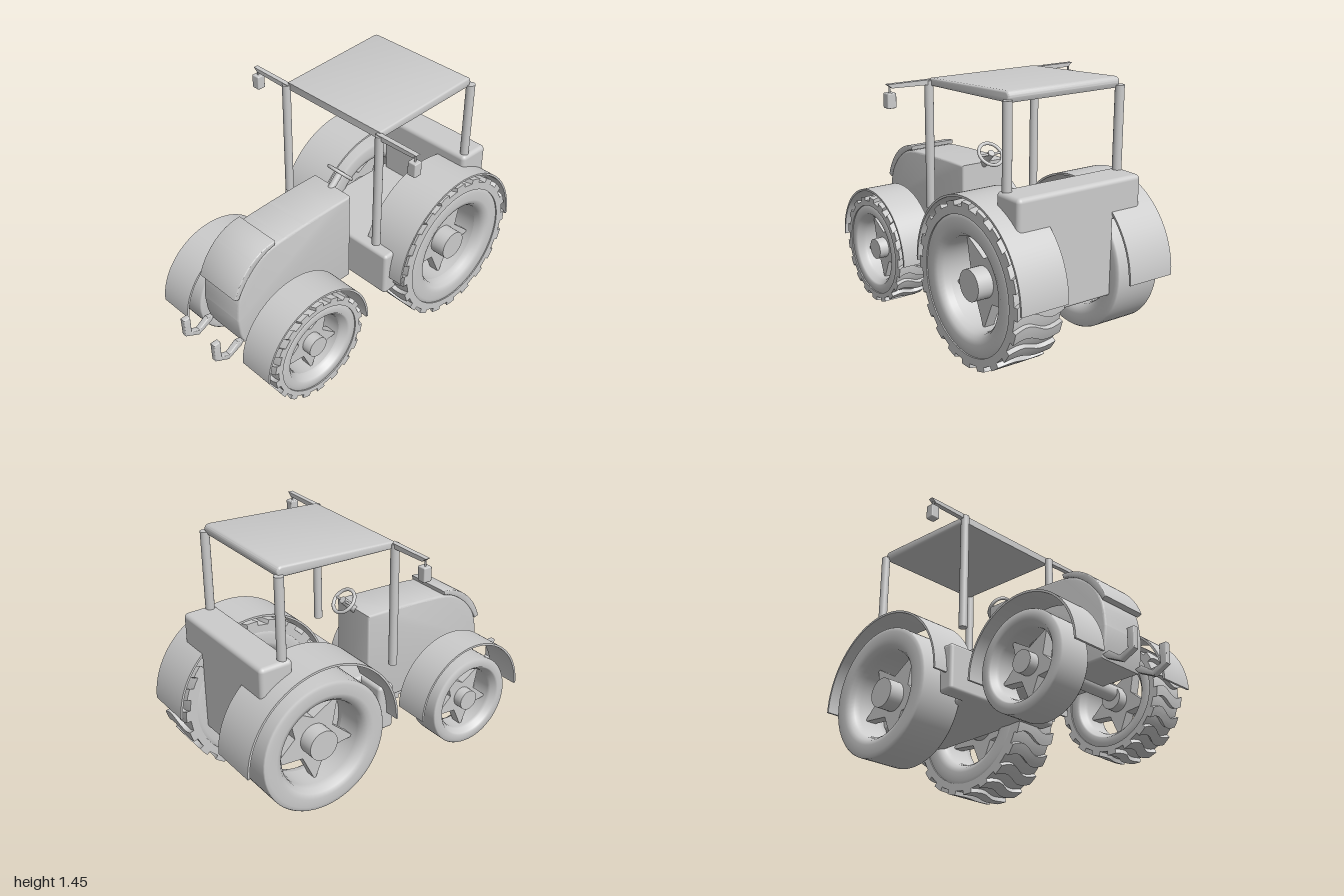
import * as THREE from 'three';
import { toCreasedNormals } from 'three/addons/utils/BufferGeometryUtils.js';
import { RoundedBoxGeometry } from 'three/addons/geometries/RoundedBoxGeometry.js';

const material = new THREE.MeshStandardMaterial({ color: 0xcccccc, side: THREE.DoubleSide });

function add(parent, name, geometry, x = 0, y = 0, z = 0) {
  const mesh = new THREE.Mesh(geometry, material);
  mesh.name = name;
  mesh.position.set(x, y, z);
  parent.add(mesh);
  return mesh;
}

// Shape drawn in (z, y), extruded to a given width across x
function sideExtrude(shape, width, bevel = 0) {
  const depth = width - 2 * bevel;
  const g = new THREE.ExtrudeGeometry(shape, {
    depth, curveSegments: 32, bevelEnabled: bevel > 0,
    bevelSize: bevel, bevelThickness: bevel, bevelOffset: -bevel, bevelSegments: 3,
  });
  g.translate(0, 0, -depth / 2).rotateY(-Math.PI / 2);
  return toCreasedNormals(g, 0.6);
}

const axleCylinder = (r, length, sides = 32) =>
  new THREE.CylinderGeometry(r, r, length, sides).rotateZ(-Math.PI / 2);

// Rod between two points
function rod(parent, name, a, b, r) {
  const from = new THREE.Vector3(...a), to = new THREE.Vector3(...b);
  return add(parent, name, new THREE.TubeGeometry(new THREE.LineCurve3(from, to), 1, r, 16));
}

function tyreGeometry(R, hole, w) {
  const h = w / 2;
  const half = [[hole, h * 0.5], [hole + 0.005, h - 0.035], [hole + 0.025, h - 0.01],
    [(hole + R) / 2 - 0.01, h], [R - 0.025, h - 0.004], [R - 0.006, h - 0.006], [R, h - 0.014]];
  const loop = [...half, ...half.map(([r, y]) => [r, -y]).reverse(), half[0]];
  return new THREE.LatheGeometry(loop.map(p => new THREE.Vector2(...p)).reverse(), 64).rotateZ(-Math.PI / 2);
}

function ringGeometry(inner, outer, w) {
  const s = new THREE.Shape().absarc(0, 0, outer, 0, Math.PI * 2);
  s.holes.push(new THREE.Path().absarc(0, 0, inner, 0, Math.PI * 2, true));
  return sideExtrude(s, w);
}

// One lug, wrapped on the tyre and skewed in a wave across its width
function lugGeometry(r, height, arc, w) {
  const g = new THREE.BoxGeometry(w, height, 1, 10, 1, 3);
  const p = g.attributes.position;
  for (let i = 0; i < p.count; i++) {
    const u = p.getX(i) / w;
    const angle = p.getZ(i) * arc + 0.35 * arc * Math.sin(u * Math.PI * 2);
    const radius = r + p.getY(i);
    p.setXYZ(i, p.getX(i), radius * Math.cos(angle), radius * Math.sin(angle));
  }
  return toCreasedNormals(g, 0.6);
}

function starGeometry(outer, inner, depth) {
  const s = new THREE.Shape();
  for (let i = 0; i < 10; i++) {
    const r = i % 2 ? inner : outer, a = -Math.PI / 2 + i * Math.PI / 5;
    s[i ? 'lineTo' : 'moveTo'](r * Math.cos(a), r * Math.sin(a));
  }
  return sideExtrude(s, depth);
}

function fenderGeometry(R, w) {
  const s = new THREE.Shape();
  s.absarc(0, 0, R, 0, Math.PI);
  s.absarc(0, 0, R - 0.012, Math.PI, 0, true);
  return sideExtrude(s, w);
}

function wheel(name, o, side) {
  const g = new THREE.Group();
  g.name = name;
  add(g, 'tyre', tyreGeometry(o.R, o.hole, o.w));
  add(g, 'spokeStar', starGeometry(o.hole + 0.015, o.hole * 0.5, 0.06));
  add(g, 'hub', axleCylinder(o.hub, o.w * 0.85));
  // Only the wheels on one side carry a tread
  if (side > 0) {
    add(g, 'treadBand', ringGeometry(o.R - 0.005, o.band, o.w));
    const lug = lugGeometry((o.band + o.tread) / 2 - 0.004, o.tread - o.band + 0.008, Math.PI / o.lugs, o.w);
    for (let i = 0; i < o.lugs; i++) add(g, 'treadLug', lug).rotation.x = (i * 2 * Math.PI) / o.lugs;
  }
  add(g, 'fender', fenderGeometry(o.fender, o.w));
  g.position.set(side * o.x, o.y, o.z);
  return g;
}

export function createModel() {
  const model = new THREE.Group();
  model.name = 'tractor';

  // Wheels with fenders
  const front = { R: 0.27, hole: 0.185, w: 0.207, band: 0.293, tread: 0.315, lugs: 18,
    hub: 0.06, fender: 0.363, x: 0.34, y: 0.32, z: 0.527 };
  const rear = { R: 0.377, hole: 0.25, w: 0.285, band: 0.415, tread: 0.44, lugs: 20,
    hub: 0.086, fender: 0.472, x: 0.342, y: 0.445, z: -0.518 };
  for (const side of [1, -1]) {
    model.add(wheel('frontWheel', front, side), wheel('rearWheel', rear, side));
  }
  add(model, 'frontAxle', axleCylinder(0.045, 0.68), 0, front.y + 0.03, front.z);
  add(model, 'rearAxle', axleCylinder(0.07, 0.68), 0, rear.y, rear.z);

  // Engine hood
  const hood = new THREE.Shape();
  hood.moveTo(0.01, 0.34);
  hood.lineTo(0.01, 0.902);
  hood.lineTo(0.15, 0.9);
  hood.splineThru([[0.4, 0.887], [0.58, 0.868], [0.69, 0.82], [0.77, 0.74], [0.815, 0.64], [0.83, 0.51]]
    .map(p => new THREE.Vector2(...p)));
  hood.lineTo(0.82, 0.41);
  hood.lineTo(0.8, 0.34);
  add(model, 'hood', sideExtrude(hood, 0.29, 0.012));

  // Curved cover over the nose
  const cover = new THREE.Shape();
  cover.moveTo(0.555, 0.9);
  cover.bezierCurveTo(0.68, 0.9, 0.8, 0.8, 0.842, 0.665);
  cover.lineTo(0.815, 0.655);
  cover.bezierCurveTo(0.76, 0.77, 0.66, 0.86, 0.56, 0.875);
  add(model, 'noseCover', sideExtrude(cover, 0.29, 0.005));

  // Front hooks
  const hook = new THREE.Shape();
  [[0.8, 0.36], [0.84, 0.37], [0.905, 0.325], [0.955, 0.345], [0.955, 0.45], [0.998, 0.45],
    [0.995, 0.335], [0.91, 0.292], [0.82, 0.335]].forEach((p, i) => hook[i ? 'lineTo' : 'moveTo'](...p));
  for (const side of [1, -1]) add(model, 'frontHook', sideExtrude(hook, 0.034, 0.005), side * 0.128);

  // Chassis, step and rear body
  add(model, 'chassis', new RoundedBoxGeometry(0.48, 0.27, 0.8, 3, 0.02), 0, 0.475, -0.42);
  add(model, 'step', new RoundedBoxGeometry(0.8, 0.27, 0.1, 3, 0.02), 0, 0.475, -0.06);
  add(model, 'rearBody', new RoundedBoxGeometry(0.42, 0.56, 0.19, 3, 0.015), 0, 0.62, -0.738);
  add(model, 'rearBox', new RoundedBoxGeometry(0.78, 0.215, 0.19, 4, 0.025), 0, 0.857, -0.738);

  // Roof and its posts
  const roof = new THREE.Shape();
  roof.moveTo(0.012, 1.37);
  roof.lineTo(0.012, 1.412);
  roof.lineTo(-0.66, 1.452);
  roof.quadraticCurveTo(-0.692, 1.452, -0.692, 1.42);
  roof.lineTo(-0.68, 1.395);
  add(model, 'roof', sideExtrude(roof, 0.7, 0.012));
  for (const side of [1, -1]) {
    add(model, 'frontPost', new THREE.CylinderGeometry(0.024, 0.024, 0.7, 24), side * 0.35, 1.05, 0.018);
    add(model, 'rearPost', new THREE.CylinderGeometry(0.025, 0.025, 0.61, 24), side * 0.353, 1.105, -0.687);

    // Lamp arm, hanger and lamp
    const arm = new THREE.Shape();
    [[0.33, 1.405], [0.608, 1.405], [0.58, 1.383], [0.33, 1.377]]
      .forEach(([x, y], i) => arm[i ? 'lineTo' : 'moveTo'](side * x, y));
    const armGeometry = new THREE.ExtrudeGeometry(arm, { depth: 0.028, bevelEnabled: false });
    add(model, 'lampArm', armGeometry, 0, 0, 0.001);
    rod(model, 'lampHanger', [side * 0.59, 1.39, 0.015], [side * 0.59, 1.35, 0.015], 0.005);
    add(model, 'lamp', new RoundedBoxGeometry(0.052, 0.08, 0.05, 2, 0.006), side * 0.588, 1.32, 0.015);
  }

  // Steering wheel
  const steering = new THREE.Group();
  steering.name = 'steeringWheel';
  add(steering, 'steeringRim', new THREE.TorusGeometry(0.071, 0.01, 12, 40));
  add(steering, 'steeringSpoke', axleCylinder(0.007, 0.14, 12));
  add(steering, 'steeringHub', new THREE.CylinderGeometry(0.02, 0.02, 0.025, 20).rotateX(Math.PI / 2));
  steering.position.set(0, 0.96, -0.05);
  steering.rotation.x = Math.PI * 0.75 + Math.PI / 2;
  model.add(steering);
  rod(model, 'steeringColumn', [0, 0.86, 0.05], [0, 0.96, -0.05], 0.02);

  return model;
}
